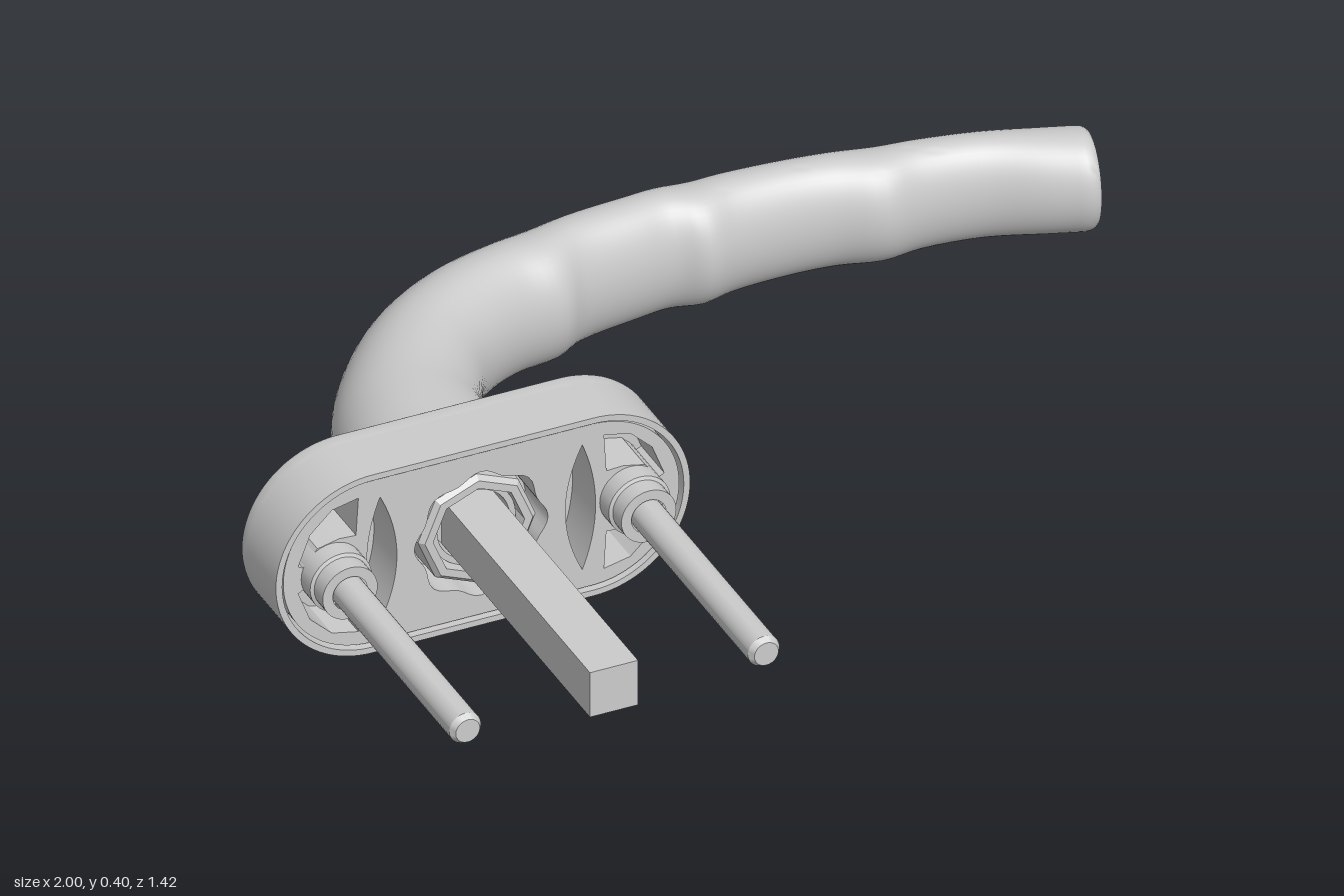
import * as THREE from 'three';
import { toCreasedNormals } from 'three/addons/utils/BufferGeometryUtils.js';

const CX = -0.57, CY = 0.2;      // spindle axis
const SCREW = 0.31;              // screw distance from the axis
const grey = new THREE.MeshStandardMaterial({ color: 0xcccccc });

function part(name, geometry, x = 0, y = 0, z = 0) {
  const mesh = new THREE.Mesh(geometry, grey);
  mesh.name = name;
  mesh.position.set(x, y, z);
  return mesh;
}

// Plate outline: straight sides with round ends, centred on the axis
function stadium(r) {
  const s = new THREE.Shape();
  s.absarc(0.23, 0, r, -Math.PI / 2, Math.PI / 2, false);
  s.absarc(-0.23, 0, r, Math.PI / 2, Math.PI * 1.5, false);
  s.closePath();
  return s;
}

function extrude(shape, depth, options = {}) {
  const g = new THREE.ExtrudeGeometry(shape, { depth, bevelEnabled: false, curveSegments: 24, ...options });
  return toCreasedNormals(g, 0.5);
}

// Turned part along z from [radius, z] pairs
function turned(profile, segments = 32) {
  const g = new THREE.LatheGeometry(profile.map(([r, z]) => new THREE.Vector2(r, z)), segments);
  g.rotateX(Math.PI / 2);
  return toCreasedNormals(g, 0.5);
}

// Ribbed insert: a face with a lobed centre opening and pockets round the screws
function insertShape() {
  const shape = stadium(0.181);
  const lobes = [];
  for (let i = 0; i < 64; i++) {
    const a = (i / 64) * Math.PI * 2, r = 0.132 + 0.007 * Math.cos(8 * a);
    lobes.push(new THREE.Vector2(r * Math.cos(a), r * Math.sin(a)));
  }
  shape.holes.push(new THREE.Path(lobes));
  const pocket = [[-0.05, 0.068], [-0.055, 0.15], [0, 0.138], [0.045, 0.095], [0.07, 0.03], [0.06, 0.025], [0.03, 0.06], [-0.015, 0.07]];
  for (const s of [-1, 1]) {
    const X = u => s * (SCREW + u);
    const lens = new THREE.Path();
    lens.moveTo(X(-0.1), 0.14);
    lens.quadraticCurveTo(X(-0.045), 0, X(-0.1), -0.14);
    lens.quadraticCurveTo(X(-0.17), 0, X(-0.1), 0.14);
    shape.holes.push(lens);
    for (const t of [-1, 1])
      shape.holes.push(new THREE.Path(pocket.map(([u, v]) => new THREE.Vector2(X(u), t * v))));
  }
  return shape;
}

// Lever: rings spanned between the outer and inner edge of the bend
function leverGeometry() {
  // outer x, outer z, inner x, inner z, half height
  const rows = [
    [-0.735, -0.07, -0.4, -0.07, 0.16],
    [-0.72, -0.2, -0.405, -0.17, 0.157],
    [-0.68, -0.33, -0.4, -0.24, 0.152],
    [-0.6, -0.45, -0.37, -0.32, 0.148],
    [-0.5, -0.545, -0.32, -0.4, 0.144],
    [-0.37, -0.62, -0.25, -0.455, 0.14],
    [-0.24, -0.66, -0.18, -0.485, 0.135],
    [-0.13, -0.682, -0.11, -0.49, 0.132],
    [-0.04, -0.695, -0.05, -0.53, 0.13],
    [0.09, -0.706, 0.08, -0.553, 0.127],
    [0.15, -0.71, 0.15, -0.56, 0.126],
    [0.22, -0.711, 0.21, -0.537, 0.124],
    [0.29, -0.709, 0.28, -0.556, 0.122],
    [0.42, -0.701, 0.4, -0.56, 0.119],
    [0.52, -0.69, 0.48, -0.55, 0.117],
    [0.6, -0.679, 0.57, -0.52, 0.115],
    [0.68, -0.665, 0.65, -0.532, 0.113],
    [0.8, -0.643, 0.77, -0.515, 0.11],
    [0.91, -0.617, 0.88, -0.465, 0.107],
    [0.978, -0.6, 0.948, -0.434, 0.105],
  ];
  const outer = new THREE.CatmullRomCurve3(rows.map(r => new THREE.Vector3(r[0], CY, r[1])));
  const inner = new THREE.CatmullRomCurve3(rows.map(r => new THREE.Vector3(r[2], CY, r[3])));
  const steps = (rows.length - 1) * 4, sides = 48;
  const rings = [];
  for (let i = 0; i <= steps; i++) {
    const t = i / steps, k = Math.min(Math.floor(t * (rows.length - 1)), rows.length - 2);
    const f = t * (rows.length - 1) - k;
    rings.push({ o: outer.getPoint(t), i: inner.getPoint(t), h: THREE.MathUtils.lerp(rows[k][4], rows[k + 1][4], f), t });
  }
  // Rounded edge at the tip
  const tip = rings[rings.length - 1];
  const mid = tip.o.clone().add(tip.i).multiplyScalar(0.5);
  for (const a of [0.4, 0.8, 1.2, Math.PI / 2]) {
    const shrink = 1 - 0.16 * (1 - Math.cos(a));
    const shift = new THREE.Vector3(0.024 * Math.sin(a), 0, 0.005 * Math.sin(a));
    const place = p => p.clone().sub(mid).multiplyScalar(shrink).add(mid).add(shift);
    rings.push({ o: place(tip.o), i: place(tip.i), h: tip.h * shrink, t: 1 });
  }
  const pos = [], index = [];
  for (const { o, i, h, t } of rings) {
    const c = o.clone().add(i).multiplyScalar(0.5), u = o.clone().sub(c);
    const e = 1 - 0.15 * Math.min(1, t * 3);   // slightly squarer along the grip's back
    for (let j = 0; j < sides; j++) {
      const a = (j / sides) * Math.PI * 2, ca = Math.cos(a), sa = Math.sin(a);
      const p = ca > 0 ? e : 1;
      const ku = Math.sign(ca) * Math.abs(ca) ** p, kv = Math.sign(sa) * Math.abs(sa) ** p;
      pos.push(c.x + u.x * ku, c.y + h * kv, c.z + u.z * ku);
    }
  }
  const last = rings.length - 1;
  for (let i = 0; i < last; i++)
    for (let j = 0; j < sides; j++) {
      const a = i * sides + j, b = i * sides + (j + 1) % sides;
      index.push(a, b, b + sides, a, b + sides, a + sides);
    }
  // End caps
  for (const [k, flip] of [[0, true], [last, false]]) {
    const c = rings[k].o.clone().add(rings[k].i).multiplyScalar(0.5), n = pos.length / 3;
    pos.push(c.x, c.y, c.z);
    for (let j = 0; j < sides; j++) {
      const a = k * sides + j, b = k * sides + (j + 1) % sides;
      index.push(n, flip ? b : a, flip ? a : b);
    }
  }
  const g = new THREE.BufferGeometry();
  g.setAttribute('position', new THREE.Float32BufferAttribute(pos, 3));
  g.setIndex(index);
  return toCreasedNormals(g, 0.7);
}

export function createModel() {
  const model = new THREE.Group();
  model.name = 'windowHandle';

  // Rosette: bevelled back plate, outer wall and ribbed insert
  model.add(part('backPlate', extrude(stadium(0.2), 0.026,
    { bevelEnabled: true, bevelSize: 0.012, bevelThickness: 0.012, bevelOffset: -0.012, bevelSegments: 4 }), CX, CY, -0.038));
  const wall = stadium(0.2);
  wall.holes.push(new THREE.Path(stadium(0.187).getPoints(24)));
  model.add(part('rosetteWall', extrude(wall, 0.13), CX, CY, -0.02));
  model.add(part('ribbedInsert', extrude(insertShape(), 0.11), CX, CY, -0.008));

  // Rotating hub inside the insert
  model.add(part('hubRing', turned([[0.095, 0], [0.122, 0], [0.122, 0.09], [0.112, 0.1], [0.095, 0.1], [0.095, 0]], 8), CX, CY, -0.008));
  model.add(part('hubSleeve', turned([[0.088, 0], [0.088, 0.075], [0.075, 0.075], [0.07, 0.04], [0, 0.04]]), CX, CY, -0.008));

  // Square spindle
  model.add(part('spindle', new THREE.BoxGeometry(0.1, 0.1, 0.69), CX, CY, 0.345));

  // Fixing screws with stepped bushes
  for (const s of [-1, 1]) {
    const x = CX + s * SCREW;
    model.add(part('screw', turned([[0, 0], [0.033, 0], [0.033, 0.692], [0.025, 0.704], [0, 0.704]], 24), x, CY, 0));
    model.add(part('screwBush', turned([[0.036, 0], [0.064, 0], [0.064, 0.142], [0.057, 0.145], [0.057, 0.183], [0.036, 0.183]]), x, CY, 0));
  }

  // Collar and lever
  model.add(part('collar', turned([[0, -0.08], [0.13, -0.08], [0.13, -0.062], [0.148, -0.06], [0.148, -0.045], [0, -0.045]].reverse().map(([r, z]) => [r, -z]).map(([r, z]) => [r, -z]).reverse(), 40), CX, CY, 0));
  model.add(part('lever', leverGeometry()));
  return model;
}
